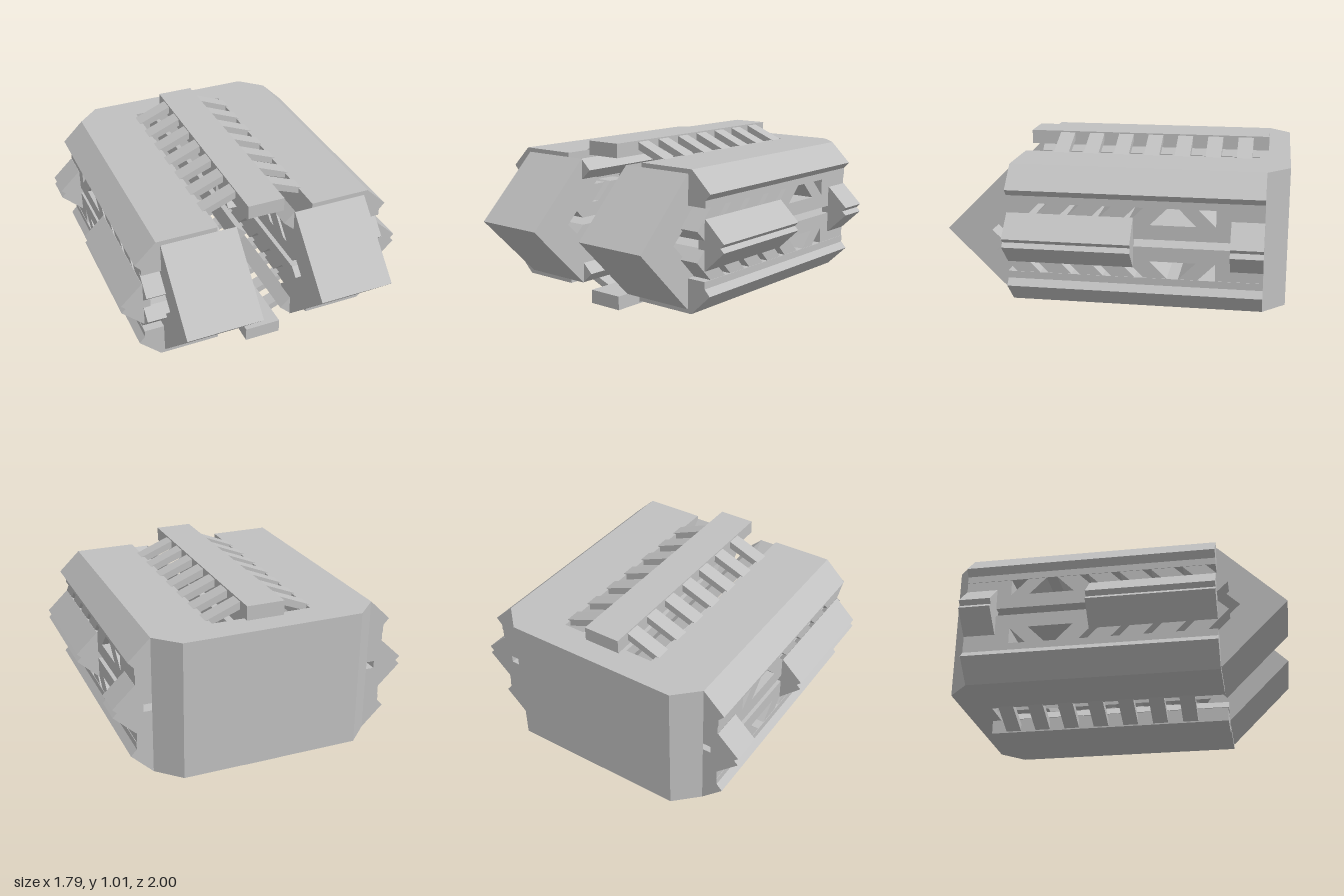
import * as THREE from 'three';

const C = 0.5125; // height of the horizontal mirror plane

export function createModel() {
  const model = new THREE.Group();
  model.name = 'latticeBlock';
  const grey = new THREE.MeshStandardMaterial({ color: 0xc0c0c0 });
  grey.name = 'plainGrey';

  const shapeOf = (pts, sx, sy) => new THREE.Shape(
    pts.map(([a, b]) => new THREE.Vector2(a * sx, sy > 0 ? b : 2 * C - b)));
  const add = (name, geometry) => {
    const mesh = new THREE.Mesh(geometry, grey);
    mesh.name = name;
    model.add(mesh);
    return mesh;
  };
  const extrude = (shape, depth) =>
    new THREE.ExtrudeGeometry(shape, { depth, bevelEnabled: false });

  // (x, y) profile run along z, repeated in all four quadrants
  const alongZ = (name, pts, z0, z1) => {
    for (const sx of [1, -1]) for (const sy of [1, -1])
      add(name, extrude(shapeOf(pts, sx, sy), z1 - z0).translate(0, 0, z0));
  };
  // (z, y) profile run along x, repeated in all four quadrants
  const alongX = (name, pts, x0, x1) => {
    for (const sx of [1, -1]) for (const sy of [1, -1]) {
      const g = extrude(shapeOf(pts, 1, sy), x1 - x0).rotateY(-Math.PI / 2);
      add(name, g.translate(sx > 0 ? x1 : -x0, 0, 0));
    }
  };
  const rect = (a0, b0, a1, b1) => [[a0, b0], [a1, b0], [a1, b1], [a0, b1]];

  // Back plate with chamfered vertical edges
  const plan = [[-0.67, 0.87], [-0.535, 1], [0.535, 1], [0.67, 0.87]];
  add('backPlate', extrude(shapeOf(plan, 1, 1), 0.825)
    .rotateX(-Math.PI / 2).translate(0, 0.1, 0));

  // Roof and floor shells with angled side lips
  alongZ('hullShell', [[0.3, 0.925], [0.67, 0.925], [0.8, 0.8], [0.765, 0.762],
    [0.72, 0.762], [0.72, 0.72], [0.3, 0.72]], -0.87, 0.605);
  alongZ('lipStrip', [[0.72, 0.72], [0.765, 0.72], [0.765, 0.762], [0.72, 0.762]], -0.87, 0.605);
  alongZ('slotEnd', rect(0, 0.84, 0.3, 0.925), -0.87, -0.82);

  // Bevelled rails beside the central slot
  alongZ('innerRail', [[0.19, 0.9], [0.12, 0.835], [0.19, 0.77]], -0.87, 0.605);

  // Raised spine and its slanted ribs, above and below
  alongZ('spine', rect(0, 0.932, 0.113, 1.017), -0.87, 0.61);
  for (let i = 0; i < 7; i++) {
    const z = 0.38 - i * 0.185;
    alongZ('spineRib', [[0.105, 1.012], [0.105, 0.965], [0.21, 0.925], [0.3, 0.89],
      [0.32, 0.925]], z - 0.046, z + 0.046);
  }

  // Diagonal side lattice
  const [xIn, xOut] = [0.19, 0.762];
  for (let i = 0; i < 5; i++) {
    const s = 1.27 - i * 0.185;
    alongX('latticeBar', [[s - 0.73, 0.73], [s - 0.6, 0.6], [s - 0.67, 0.535],
      [s - 0.135 - 0.73, 0.73]], xIn, xOut);
  }
  alongX('latticeBrace', [[-0.38, 0.73], [-0.5, 0.61], [-0.61, 0.61], [-0.49, 0.73]], xIn, xOut);
  alongX('latticeBeam', rect(-0.87, 0.535, 0.6, 0.62), xIn, xOut);
  alongX('latticeWall', rect(-0.87, 0.535, -0.6, 0.73), xIn, xOut);

  // Wedge panels on the sides
  const wedge = [[0.765, 0.66], [0.895, 0.537], [0.87, C], [0.72, C], [0.72, 0.62]];
  alongZ('sidePanel', wedge, -0.13, 0.605);
  alongZ('rearSidePanel', wedge, -0.87, -0.685);

  // Pointed front blocks
  alongX('frontBlock', [[1, C], [0.61, 0.9], [0.47, 0.762], [0.73, C]], 0.185, 0.645);

  return model;
}
